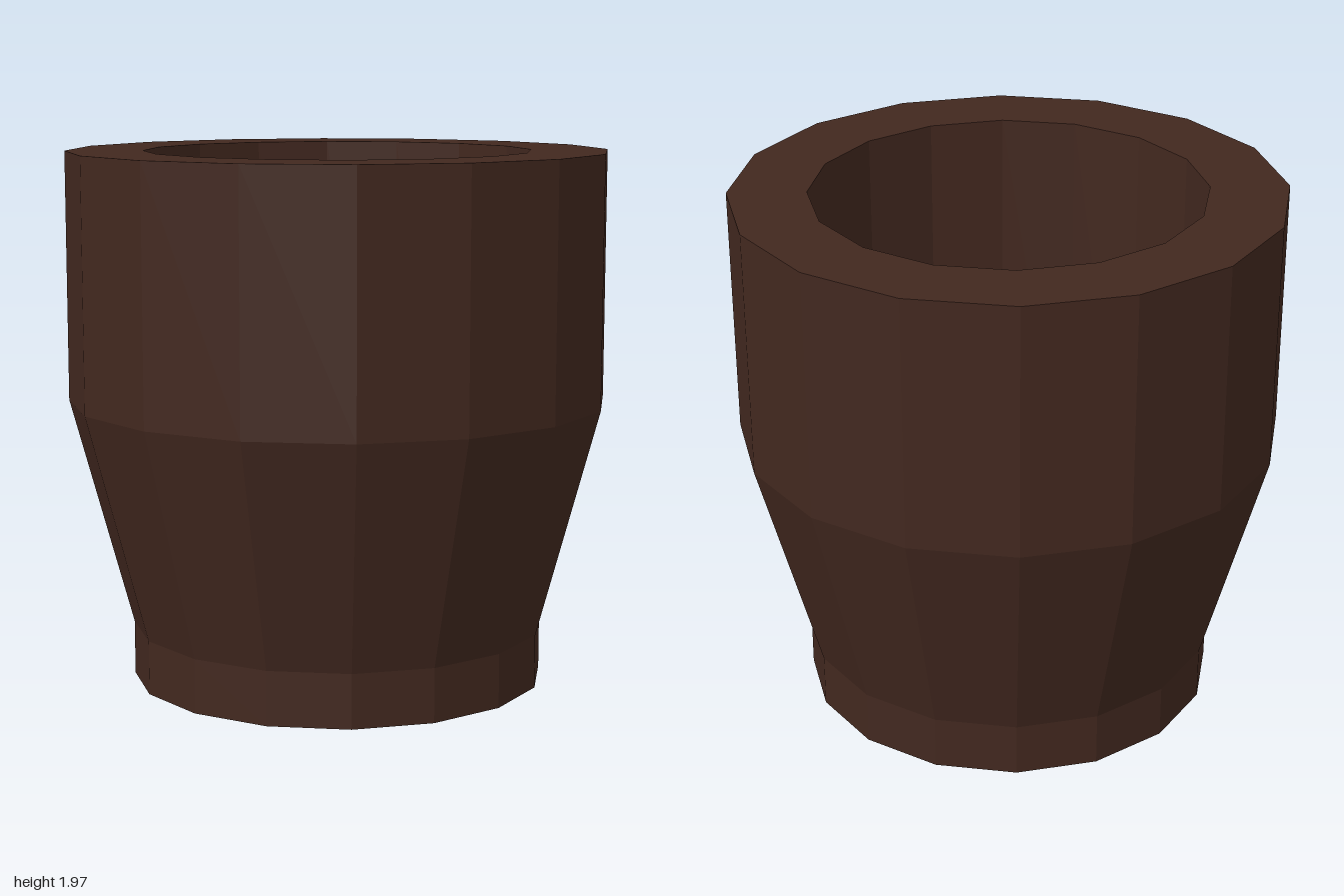
import * as THREE from 'three';

export function createModel() {
  const group = new THREE.Group();
  group.name = 'cup';

  // Closed section: underside, foot, flared waist, straight wall, rim, bore, inner floor
  const profile = [
    [0, 0], [0.77, 0], [0.77, 0.2], [1, 1.05], [1, 1.97],
    [0.715, 1.97], [0.715, 0.2], [0, 0.2],
  ].map(([r, y]) => new THREE.Vector2(r, y));

  const material = new THREE.MeshStandardMaterial({ color: 0x42281f, flatShading: true });
  const body = new THREE.Mesh(new THREE.LatheGeometry(profile, 16), material);
  body.name = 'cupBody';
  group.add(body);

  return group;
}
